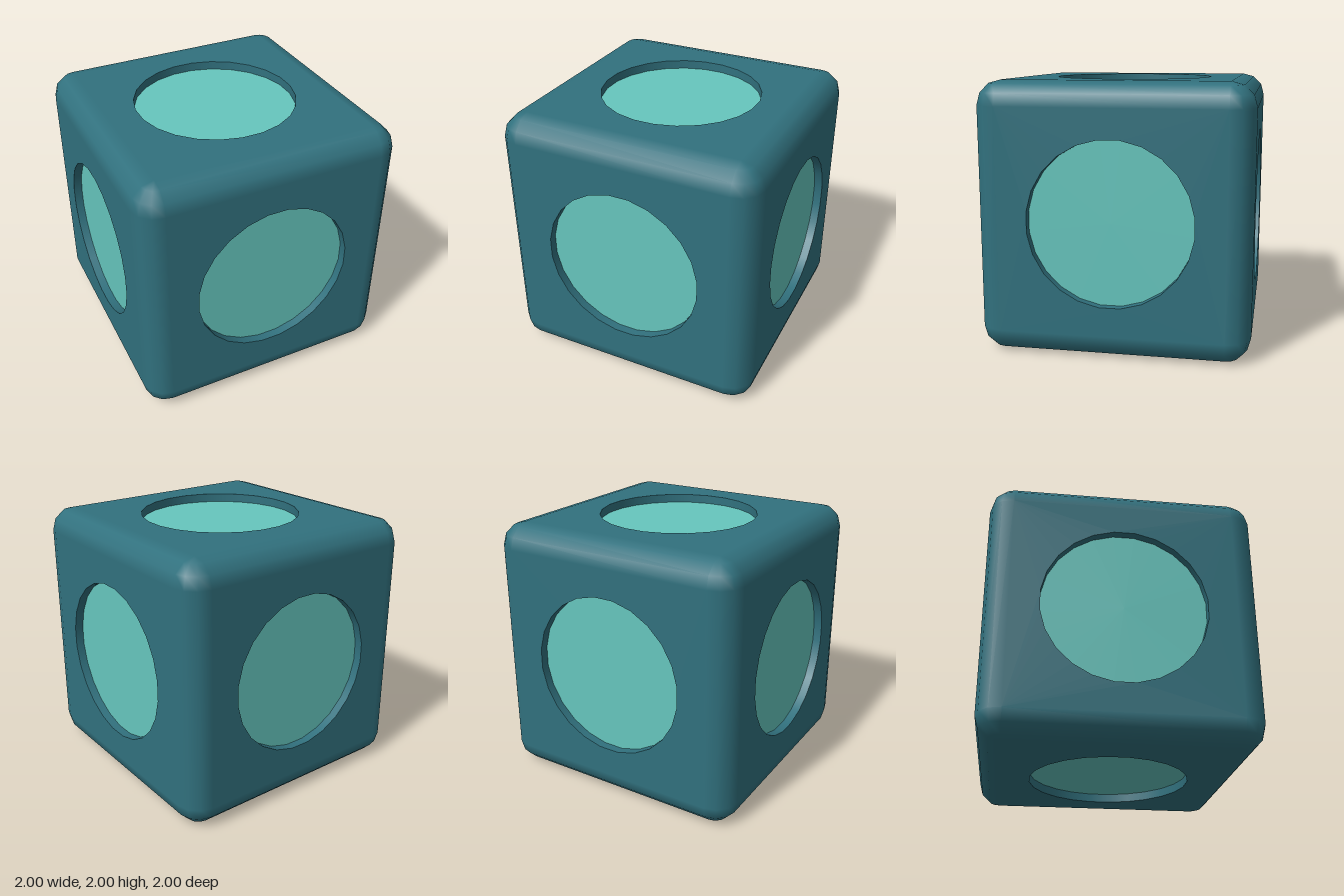
import * as THREE from 'three';
import { mergeGeometries } from 'three/addons/utils/BufferGeometryUtils.js';

const HALF = 1, BEVEL = 0.18, FLAT = HALF - BEVEL;
const HOLE = 0.605, DEPTH = 0.065, SIDES = 24;
const Q = Math.PI / 2, START = Math.PI / SIDES;

// Rounded edges (quarter cylinders) and corners (sphere octants)
function bevelGeometry() {
  const parts = [];
  for (let k = 0; k < 4; k++) {
    const mid = (k + 0.5) * Q;
    const sx = Math.sign(Math.sin(mid)), sz = Math.sign(Math.cos(mid));
    for (let axis = 0; axis < 3; axis++) {
      const edge = new THREE.CylinderGeometry(BEVEL, BEVEL, FLAT * 2, 3, 1, true, k * Q, Q);
      edge.translate(sx * FLAT, 0, sz * FLAT);
      if (axis === 1) edge.rotateX(Q);
      if (axis === 2) edge.rotateZ(Q);
      parts.push(edge);
    }
    for (let j = 0; j < 2; j++) {
      const corner = new THREE.SphereGeometry(BEVEL, 3, 3, k * Q, Q, j * Q, Q);
      corner.translate(-Math.sign(Math.cos(mid)) * FLAT, j ? -FLAT : FLAT, Math.sign(Math.sin(mid)) * FLAT);
      parts.push(corner);
    }
  }
  return mergeGeometries(parts);
}

// Flat face with a round hole, plus the inward-facing wall of the recess
function panelGeometry() {
  const shape = new THREE.Shape([[-1, -1], [1, -1], [1, 1], [-1, 1]]
    .map(([x, y]) => new THREE.Vector2(x * FLAT, y * FLAT)));
  const rim = [];
  for (let i = 0; i < SIDES; i++) {
    const a = START - i * 2 * START;
    rim.push(new THREE.Vector2(Math.cos(a) * HOLE, Math.sin(a) * HOLE));
  }
  shape.holes.push(new THREE.Path(rim));
  const face = new THREE.ShapeGeometry(shape).translate(0, 0, HALF);
  const wall = new THREE.LatheGeometry(
    [new THREE.Vector2(HOLE, HALF), new THREE.Vector2(HOLE, HALF - DEPTH)], SIDES, START);
  return mergeGeometries([face, wall.rotateX(Q)]);
}

export function createModel() {
  const shellColor = new THREE.MeshStandardMaterial({ name: 'dark teal', color: 0x31717e });
  const discColor = new THREE.MeshStandardMaterial({ name: 'light teal', color: 0x66c6be });

  const model = new THREE.Group();
  model.name = 'recessedCube';
  const add = (parent, name, geometry, material) => {
    const mesh = new THREE.Mesh(geometry, material);
    mesh.name = name;
    parent.add(mesh);
  };

  const body = new THREE.Group();
  body.name = 'body';
  body.position.y = HALF;
  model.add(body);
  add(body, 'roundedEdges', bevelGeometry(), shellColor);

  // The same recessed face on all six sides
  const panel = panelGeometry();
  const disc = new THREE.CircleGeometry(HOLE, SIDES, START).translate(0, 0, HALF - DEPTH);
  const sides = {
    front: [0, 0], left: [0, Q], back: [0, 2 * Q], right: [0, -Q], top: [-Q, 0], bottom: [Q, 0],
  };
  for (const [name, [rx, ry]] of Object.entries(sides)) {
    const side = new THREE.Group();
    side.name = name + 'Side';
    side.rotation.set(rx, ry, 0);
    add(side, name + 'Panel', panel, shellColor);
    add(side, name + 'Disc', disc, discColor);
    body.add(side);
  }
  return model;
}
